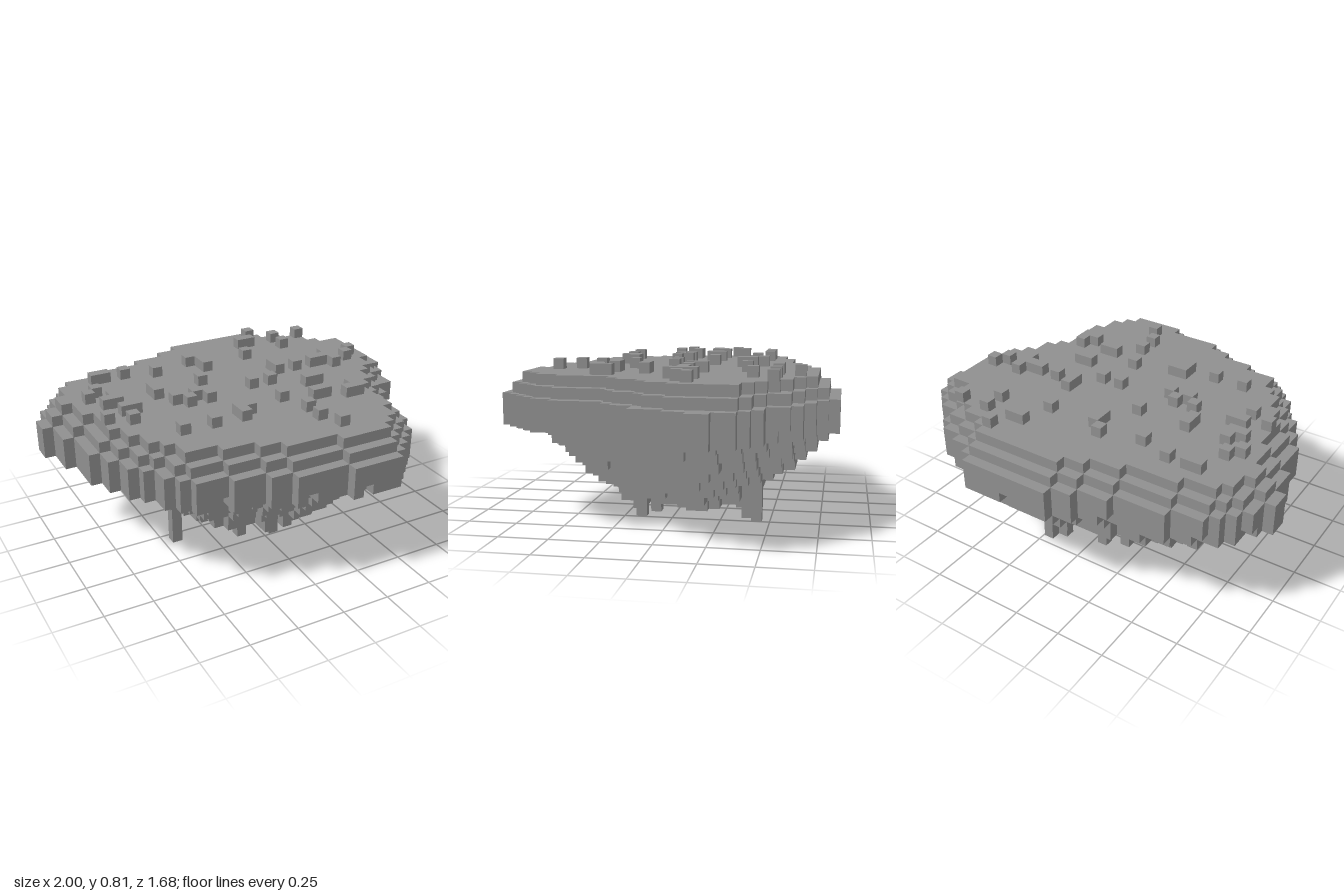
import * as THREE from 'three';

const NX = 37, NY = 15, NZ = 31, V = 2 / NX;

// Rim outline: first and last-plus-one column of every row, back to front
const START = [17, 15, 12, 7, 4, 3, 2, 1, 1, 0, 0, 1, 1, 1, 2, 2, 2, 2, 3, 3, 4, 4, 5, 6, 6, 7, 8, 11, 14, 16, 21];
const END = [26, 27, 29, 31, 32, 32, 34, 35, 36, 36, 37, 37, 36, 36, 35, 35, 35, 33, 33, 32, 31, 31, 31, 31, 31, 30, 30, 29, 28, 27, 26];

// Underside layers, lowest first: [x0, x1, z0, z1] in cells
const UNDER = [
  [12, 24, 9, 21], [12, 26, 8, 21], [10, 27, 7, 23], [9, 29, 6, 24],
  [7, 30, 4, 25], [5, 31, 3, 26], [5, 32, 2, 27], [4, 33, 1, 27],
];

// Pebbles by row: row -> columns
const PEBBLES = {
  3: [25], 5: [23, 24, 27, 30], 7: [6, 7, 9, 16, 27], 8: [12, 17, 22], 9: [17], 10: [5], 11: [4],
  12: [6, 10, 15, 23, 29, 32], 13: [5, 6, 10, 23, 25, 27, 28, 29, 31], 14: [29],
  15: [6, 7, 11, 13, 19, 21], 16: [4, 12, 14], 17: [6, 24, 25], 19: [20],
  20: [15, 16, 23, 24, 27], 21: [9, 12, 15, 26, 27], 22: [21], 24: [21], 26: [22],
};

// Hanging spikes: [column, row]
const SPIKES = [
  [10, 16], [22, 7], [21, 8], [17, 9], [15, 10], [16, 11], [13, 12],
  [14, 14], [15, 15], [20, 17], [16, 18], [22, 18], [19, 19],
];

const AROUND = [[1, 0], [-1, 0], [0, 1], [0, -1]];
const inside = (x, z) => z >= 0 && z < NZ && x >= START[z] && x < END[z];
const hash = (x, y, z) => {
  const s = Math.sin(x * 12.9898 + y * 78.233 + z * 37.719) * 43758.5453;
  return s - Math.floor(s);
};

// Rim outline shrunk by n cells in four directions
function inset(x, z, n) {
  if (!n) return inside(x, z);
  return inset(x, z, n - 1) && AROUND.every(([dx, dz]) => inset(x + dx, z + dz, n - 1));
}

// Rim outline squeezed into the extents of one underside layer
function tapered(x, z, [x0, x1, z0, z1]) {
  if (x < x0 || x >= x1 || z < z0 || z >= z1) return false;
  return inside(Math.floor((x + 0.5 - x0) / (x1 - x0) * NX), Math.floor((z + 0.5 - z0) / (z1 - z0) * NZ));
}

// Outward directions with two edge vectors each (a x b = n)
const SIDES = [
  [[1, 0, 0], [0, 1, 0], [0, 0, 1]], [[-1, 0, 0], [0, 0, 1], [0, 1, 0]],
  [[0, 1, 0], [0, 0, 1], [1, 0, 0]], [[0, -1, 0], [1, 0, 0], [0, 0, 1]],
  [[0, 0, 1], [1, 0, 0], [0, 1, 0]], [[0, 0, -1], [0, 1, 0], [1, 0, 0]],
];

export function createModel() {
  const group = new THREE.Group();
  group.name = 'floatingIsland';
  const stone = new THREE.MeshStandardMaterial({ color: 0x8f8f8f });
  stone.name = 'stone grey';

  const grid = new Map();
  const key = (x, y, z) => (y * 64 + z) * 64 + x;
  const put = (x, y, z, part) => grid.set(key(x, y, z), { p: [x, y, z], part });

  // Plateau: thick rim, pitted below, with two steps above it
  for (let y = 9; y <= 13; y++)
    for (let z = 0; z < NZ; z++)
      for (let x = 0; x < NX; x++) {
        if (!inset(x, z, Math.max(0, y - 11))) continue;
        if (y > 11 && x >= 47 - y) continue;
        const overhang = y === 9 && !tapered(x, z, UNDER[7]);
        if (overhang && hash(x, y, z) < (inset(x, z, 1) ? 0.22 : 0.06)) continue;
        put(x, y, z, 'plateau');
      }

  // Underside: terraces narrowing downwards, with ragged edges
  for (let y = 8; y >= 1; y--) {
    const box = UNDER[y - 1];
    for (let z = 0; z < NZ; z++)
      for (let x = 0; x < NX; x++) {
        if (!tapered(x, z, box) || !grid.has(key(x, y + 1, z))) continue;
        const edge = AROUND.some(([dx, dz]) => !tapered(x + dx, z + dz, box));
        if (edge && hash(x, y, z) < (y <= 2 ? 0.3 : 0.1)) continue;
        put(x, y, z, 'underside');
      }
  }

  // Spikes reach down from the terrace above them
  for (const [x, z] of SPIKES)
    for (let y = 0; !grid.has(key(x, y, z)); y++) put(x, y, z, 'spikes');

  // Pebbles on the flat top
  for (const [z, columns] of Object.entries(PEBBLES))
    for (const x of columns) put(x, NY - 1, Number(z), 'pebbles');

  // One mesh per part, made of exposed block faces only
  for (const part of ['plateau', 'underside', 'spikes', 'pebbles']) {
    const positions = [], normals = [];
    for (const block of grid.values()) {
      if (block.part !== part) continue;
      for (const [n, a, b] of SIDES) {
        if (grid.has(key(...block.p.map((c, i) => c + n[i])))) continue;
        for (const [s, t] of [[0, 0], [1, 0], [1, 1], [0, 0], [1, 1], [0, 1]]) {
          const c = block.p.map((v, i) => v + Math.max(n[i], 0) + s * a[i] + t * b[i]);
          positions.push((c[0] - NX / 2) * V, c[1] * V, (c[2] - NZ / 2) * V);
          normals.push(...n);
        }
      }
    }
    const geometry = new THREE.BufferGeometry();
    geometry.setAttribute('position', new THREE.Float32BufferAttribute(positions, 3));
    geometry.setAttribute('normal', new THREE.Float32BufferAttribute(normals, 3));
    const mesh = new THREE.Mesh(geometry, stone);
    mesh.name = part;
    group.add(mesh);
  }
  return group;
}
